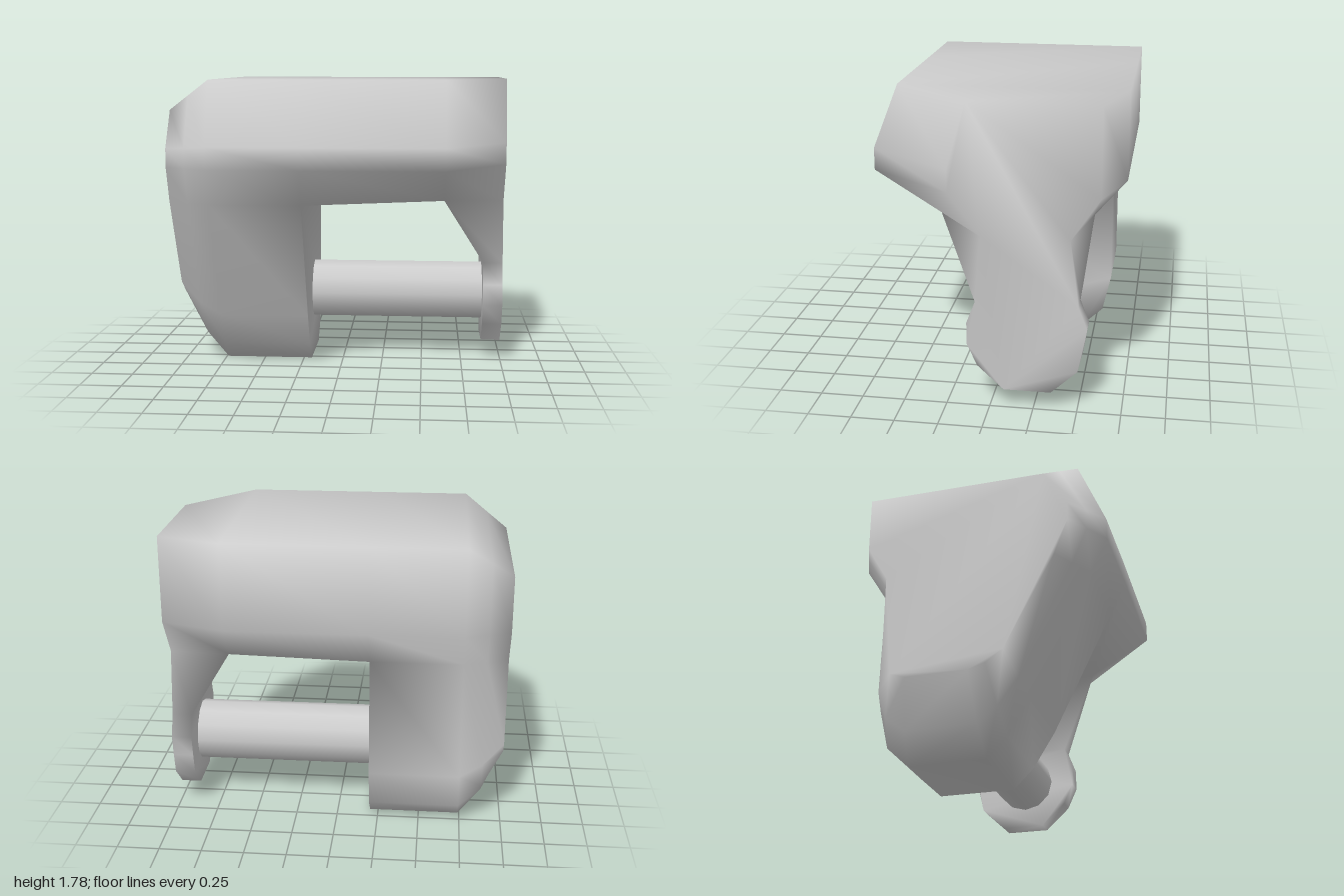
import * as THREE from 'three';
import { mergeVertices } from 'three/addons/utils/BufferGeometryUtils.js';

// Cross-sections are lists of [z, y], from the top front edge down, under and up the back.
const section = (x, pts) => pts.map(([z, y]) => new THREE.Vector3(x, y, z));

function createShell() {
  const positions = [];
  const tri = (a, b, c) => [a, b, c].forEach((p) => positions.push(p.x, p.y, p.z));
  const quad = (a, b, c, d) => { tri(a, b, c); tri(a, c, d); };

  // Skin between two matching sections, a on the -x side of b
  const strip = (a, b, closed = false) => {
    const n = a.length;
    for (let i = 0; i < (closed ? n : n - 1); i++) {
      const j = (i + 1) % n;
      quad(a[i], a[j], b[j], b[i]);
    }
  };
  // Flat end facing +x, or -x when flipped
  const cap = (pts, flip = false) => {
    const flat = pts.map((p) => new THREE.Vector2(-p.z, p.y));
    for (const [a, b, c] of THREE.ShapeUtils.triangulateShape(flat, [])) {
      if (flip) tri(pts[a], pts[c], pts[b]);
      else tri(pts[a], pts[b], pts[c]);
    }
  };

  // Broad leg: full-height block with a bevelled outer side
  const front = [[0.58, 1.78], [0.74, 1.4], [0.74, 1.27], [0.64, 1.06]];
  const foot = [[0.28, 0.33], [0.15, 0.12], [0.03, 0], [-0.42, 0], [-0.55, 0.12], [-0.6, 0.34]];
  const back = [[-0.6, 1.06], [-0.73, 1.27], [-0.73, 1.78]];
  const full = [...front, ...foot, ...back];
  const outer = [
    [0.43, 1.6], [0.57, 1.38], [0.57, 1.27], [0.49, 1.06],
    [0.2, 0.52], [0.1, 0.45], [0, 0.42], [-0.36, 0.42], [-0.45, 0.45], [-0.5, 0.52],
    [-0.5, 1.06], [-0.62, 1.27], [-0.62, 1.6],
  ];
  // Halfway section, rounder at the foot
  const bevel = full.map(([z, y], i) => {
    const t = i > 3 && i < 10 ? 0.37 : 0.52;
    return [z + (outer[i][0] - z) * t, y + (outer[i][1] - y) * t];
  });
  const leg = [section(-1, outer), section(-0.875, bevel), section(-0.74, full), section(-0.2, full)];
  for (let i = 0; i < 3; i++) strip(leg[i], leg[i + 1], true);
  cap(leg[0], true);
  cap(leg[3].slice(3, 11));

  // Upper beam
  const beamStart = section(-0.2, [...front, ...back]);
  const beamEnd = section(0.63, [
    [0.58, 1.78], [0.73, 1.4], [0.73, 1.27], [0.35, 1.06],
    [-0.55, 1.06], [-0.73, 1.27], [-0.73, 1.78],
  ]);
  strip(beamStart, beamEnd, true);

  // Narrow arm: tapered shoulder and thin rounded plate
  const plate = [
    [0.08, 0.64], [0.13, 0.51], [0.13, 0.38], [0.07, 0.25], [-0.08, 0.11],
    [-0.35, 0.11], [-0.5, 0.25], [-0.53, 0.38], [-0.55, 0.51], [-0.5, 0.64],
  ];
  const shoulderFront = section(1, [[0.12, 1.78], [0.23, 1.4], [0.23, 1.27], [0.05, 1.03]]);
  const shoulderBack = section(1, [[-0.45, 1.03], [-0.61, 1.27], [-0.61, 1.78]]);
  const inside = section(0.88, plate);
  const outside = section(1, plate);
  strip(beamEnd.slice(0, 4), shoulderFront);
  strip(beamEnd.slice(4), shoulderBack);
  quad(beamEnd[6], beamEnd[0], shoulderFront[0], shoulderBack[2]);
  quad(beamEnd[3], inside[0], outside[0], shoulderFront[3]);
  quad(inside[9], beamEnd[4], shoulderBack[0], outside[9]);
  quad(beamEnd[3], beamEnd[4], inside[9], inside[0]);
  strip(inside, outside);
  cap(inside, true);
  cap([...shoulderFront, ...outside, ...shoulderBack]);

  const geometry = new THREE.BufferGeometry();
  geometry.setAttribute('position', new THREE.Float32BufferAttribute(positions, 3));
  const smooth = mergeVertices(geometry, 1e-4);
  smooth.computeVertexNormals();
  return smooth;
}

export function createModel() {
  const model = new THREE.Group();
  model.name = 'bracket';
  const material = new THREE.MeshStandardMaterial({ color: 0xcccccc, side: THREE.DoubleSide });

  const shell = new THREE.Mesh(createShell(), material);
  shell.name = 'bracketBody';
  model.add(shell);

  // Cross rod joining the leg to the arm
  const rod = new THREE.Mesh(new THREE.CylinderGeometry(0.185, 0.185, 1.08, 12, 1, true), material);
  rod.name = 'crossRod';
  rod.rotation.z = Math.PI / 2;
  rod.position.set(0.34, 0.413, -0.2);
  model.add(rod);

  return model;
}
